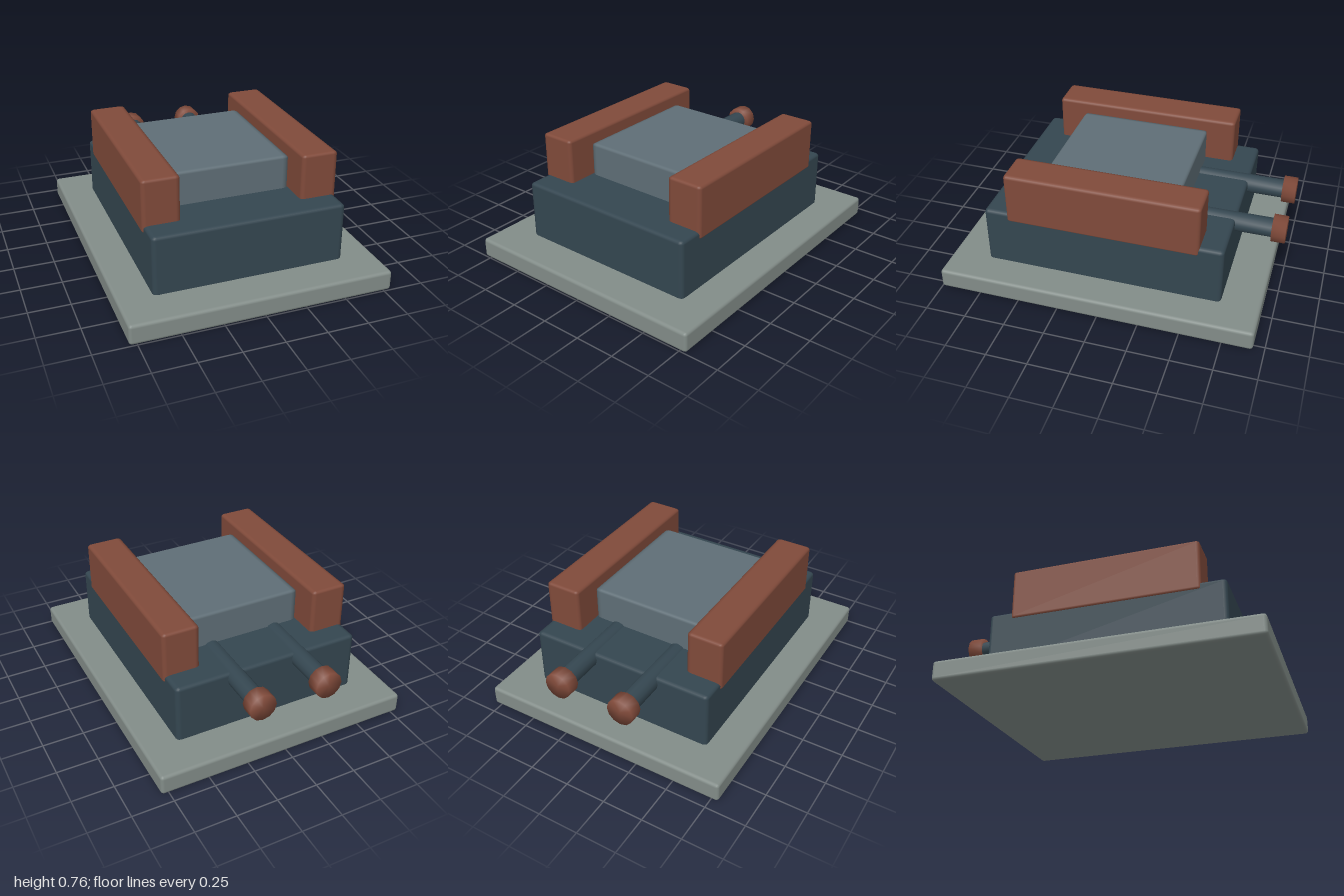
import * as THREE from 'three';
import { mergeVertices } from 'three/addons/utils/BufferGeometryUtils.js';
import { RoundedBoxGeometry } from 'three/addons/geometries/RoundedBoxGeometry.js';

const paint = (name, color) => {
  const m = new THREE.MeshStandardMaterial({ color });
  m.name = name;
  return m;
};

// Box between two corners, with a separate bevel size along each axis
function bevelBox(min, max, bevel) {
  const g = new RoundedBoxGeometry(4, 4, 4, 2, 1);
  const p = g.attributes.position;
  for (let i = 0; i < p.count; i++) {
    for (let a = 0; a < 3; a++) {
      const v = p.getComponent(i, a);
      const half = (max[a] - min[a]) / 2;
      const reach = half - bevel[a] + (Math.abs(v) - 1) * bevel[a];
      p.setComponent(i, a, (min[a] + max[a]) / 2 + Math.sign(v) * reach);
    }
  }
  return g;
}

// Rod lying along z; normals are shared over the rim for a soft end
function rod(radius, z0, z1) {
  const g = new THREE.CylinderGeometry(radius, radius, z1 - z0, 12);
  g.deleteAttribute('normal');
  g.deleteAttribute('uv');
  const soft = mergeVertices(g, 1e-4);
  soft.rotateX(Math.PI / 2);
  soft.translate(0, 0, (z0 + z1) / 2);
  soft.computeVertexNormals();
  return soft;
}

export function createModel() {
  const model = new THREE.Group();
  model.name = 'model';
  const stone = paint('stone grey', 0x828c88);
  const slate = paint('dark slate', 0x344650);
  const steel = paint('steel grey', 0x5f6e76);
  const rust = paint('rust red', 0x804a3a);

  const add = (name, geometry, material) => {
    const mesh = new THREE.Mesh(geometry, material);
    mesh.name = name;
    model.add(mesh);
    return mesh;
  };

  // Ground slab, main body and raised centre block
  add('baseSlab', bevelBox([-0.795, 0, -0.935], [0.795, 0.125, 1], [0.02, 0.02, 0.02]), stone);
  add('body', bevelBox([-0.588, 0.11, -0.7], [0.588, 0.485, 0.765], [0.03, 0.018, 0.025]), slate);
  add('centreBlock', bevelBox([-0.37, 0.42, -0.385], [0.37, 0.695, 0.44], [0.04, 0.018, 0.018]), steel);

  for (const [side, s] of [['left', 1], ['right', -1]]) {
    // Long side rails
    const x = [s * 0.37, s * 0.597].sort((a, b) => a - b);
    add(side + 'Rail', bevelBox([x[0], 0.437, -0.557], [x[1], 0.76, 0.617], [0.028, 0.016, 0.02]), rust);

    // Rear pipes with end caps
    add(side + 'Pipe', rod(0.058, -0.93, -0.3), slate).position.set(s * 0.21, 0.445, 0);
    add(side + 'PipeCap', rod(0.083, -1, -0.917), rust).position.set(s * 0.21, 0.445, 0);
  }
  return model;
}
